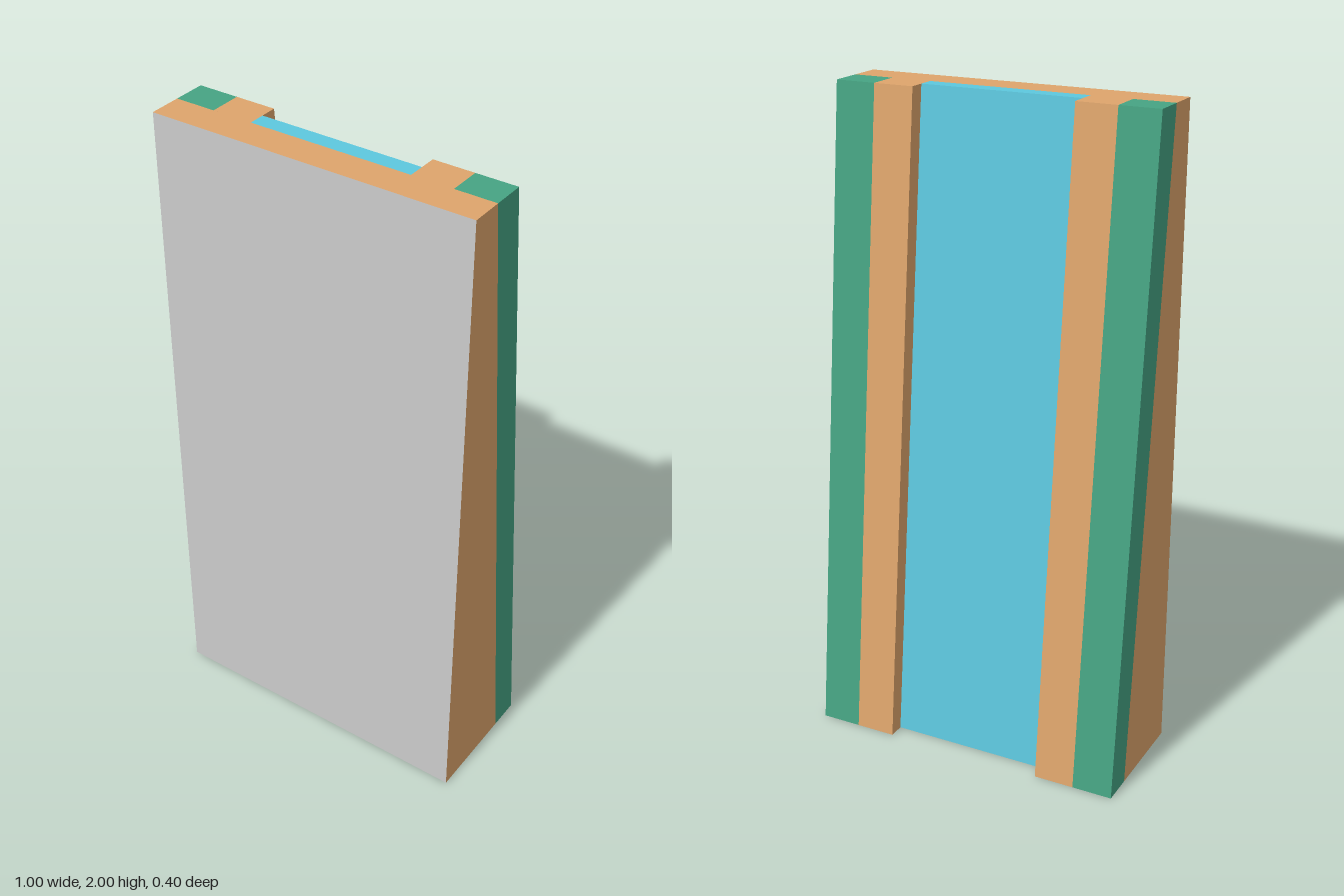
import * as THREE from 'three';

const HEIGHT = 2;
const FRONT = 0.2;

const paint = (color) => new THREE.MeshStandardMaterial({ color, flatShading: true });

// z of the sloping plane the strips lie on: -0.1 at the foot, +0.1 at the top
const slopeZ = (y) => 0.1 * (y - 1);

// Full-height box whose front and back depths are functions of y
function slab(name, x0, x1, backZ, frontZ, material) {
  const geometry = new THREE.BoxGeometry(x1 - x0, HEIGHT, 1);
  geometry.translate((x0 + x1) / 2, HEIGHT / 2, 0);
  const p = geometry.attributes.position;
  for (let i = 0; i < p.count; i++) {
    const y = p.getY(i);
    p.setZ(i, p.getZ(i) > 0 ? frontZ(y) : backZ(y));
  }
  geometry.computeVertexNormals();
  const mesh = new THREE.Mesh(geometry, material);
  mesh.name = name;
  return mesh;
}

// Strip of the given thickness lying on the sloping back of the wedge
const strip = (name, x0, x1, thickness, material) =>
  slab(name, x0, x1, (y) => slopeZ(y) - thickness, slopeZ, material);

export function createModel() {
  const group = new THREE.Group();
  group.name = 'slopedWall';

  const grey = paint(0xcccccc);
  const earth = paint(0xdea56c);
  const grass = paint(0x46a483);
  const water = paint(0x5dc8de);

  // Wedge body with a plain grey front face (box sides: +x, -x, +y, -y, +z, -z)
  group.add(slab('wedgeBody', -0.5, 0.5, slopeZ, () => FRONT,
    [earth, earth, earth, earth, grey, earth]));

  // Recessed channel strip down the middle
  group.add(strip('channel', -0.25, 0.25, 0.05, water));

  // Raised banks and outer borders on both sides
  for (const [side, s] of [['left', 1], ['right', -1]]) {
    const span = (a, b) => (s > 0 ? [a, b] : [-b, -a]);
    group.add(strip(`${side}Bank`, ...span(0.25, 0.375), 0.1, earth));
    group.add(strip(`${side}Border`, ...span(0.375, 0.5), 0.1, grass));
  }

  return group;
}
